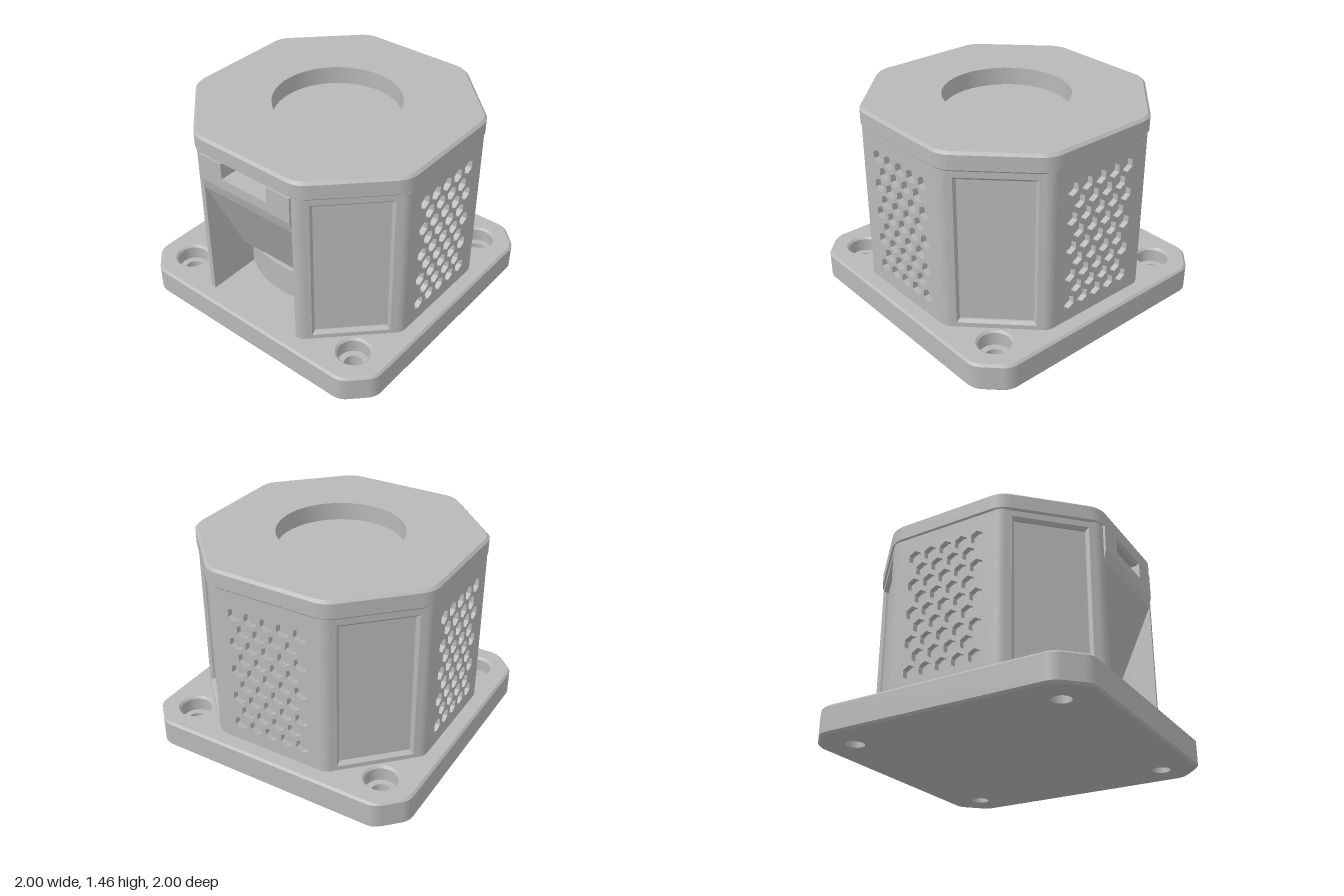
import * as THREE from 'three';
import { toCreasedNormals } from 'three/addons/utils/BufferGeometryUtils.js';

const BASE_TOP = 0.2, CAP_BOTTOM = 1.335, TOP = 1.46;
const WALL = 0.89, CORNER = 0.415, S = Math.SQRT1_2;

// Closed shape with every corner rounded by a quadratic curve
function roundedShape(pts, r) {
  const shape = new THREE.Shape();
  const v = pts.map(([x, y]) => new THREE.Vector2(x, y));
  v.forEach((p, i) => {
    const prev = v[(i + v.length - 1) % v.length], next = v[(i + 1) % v.length];
    const a = prev.clone().sub(p).setLength(r).add(p);
    const b = next.clone().sub(p).setLength(r).add(p);
    if (i) shape.lineTo(a.x, a.y); else shape.moveTo(a.x, a.y);
    shape.quadraticCurveTo(p.x, p.y, b.x, b.y);
  });
  shape.closePath();
  return shape;
}

function polygon(pts) {
  return new THREE.Shape(pts.map(([x, y]) => new THREE.Vector2(x, y)));
}

// Square of half size a whose corners are cut at b
function cutSquare(a, b) {
  return [[b, a], [-b, a], [-a, b], [-a, -b], [-b, -a], [b, -a], [a, -b], [a, b]];
}

function circleHole(x, y, r) {
  return new THREE.Path().absarc(x, y, r, 0, Math.PI * 2, true);
}

function disc(r, hole) {
  const shape = new THREE.Shape().absarc(0, 0, r, 0, Math.PI * 2, false);
  shape.holes.push(circleHole(0, 0, hole));
  return shape;
}

// Extrude a plan shape upward from y0 to y1, bevel included
function prism(shape, y0, y1, bevel = 0) {
  const geo = new THREE.ExtrudeGeometry(shape, {
    depth: y1 - y0 - 2 * bevel, bevelEnabled: bevel > 0, bevelSize: bevel,
    bevelThickness: bevel, bevelSegments: 1, curveSegments: 24,
  });
  geo.rotateX(-Math.PI / 2).translate(0, y0 + bevel, 0);
  return toCreasedNormals(geo, 0.5);
}

export function createModel() {
  const model = new THREE.Group();
  model.name = 'ventedHousing';
  const grey = new THREE.MeshStandardMaterial({ color: 0xb8b8b8 });
  grey.name = 'plainGrey';
  const add = (name, geo, angle = 0) => {
    const mesh = new THREE.Mesh(geo, grey);
    mesh.name = name;
    mesh.rotation.y = angle;
    model.add(mesh);
    return mesh;
  };

  // Mounting plate with four counterbored screw holes
  const plate = roundedShape(cutSquare(0.985, 0.825), 0.05);
  const screws = [[1, 1], [1, -1], [-1, 1], [-1, -1]].map(([x, z]) => [x * 0.75, z * 0.75]);
  screws.forEach(([x, z]) => plate.holes.push(circleHole(x, z, 0.123)));
  add('mountingPlate', prism(plate, 0, BASE_TOP, 0.015));
  const seat = prism(disc(0.123, 0.063), 0, 0.09);
  screws.forEach(([x, z]) => add('screwSeat', seat).position.set(x, 0, z));

  // Inner core, with a bay cut into the -x side
  const core = polygon([[0.41, 0.85], [-0.41, 0.85], [-0.85, 0.41], [-0.85, 0.375], [-0.5, 0.375],
    [-0.5, -0.375], [-0.85, -0.375], [-0.85, -0.41], [-0.41, -0.85], [0.41, -0.85], [0.85, -0.41], [0.85, 0.41]]);
  add('core', prism(core, BASE_TOP, CAP_BOTTOM));

  // Rounded corner posts
  const dx = 0.04 * S;
  for (const side of [1, -1]) {
    const post = new THREE.Shape();
    post.moveTo(side * 0.375, 0.83);
    post.lineTo(side * 0.375, WALL);
    post.quadraticCurveTo(side * CORNER, WALL, side * (CORNER + dx), WALL - dx);
    post.lineTo(side * (CORNER + dx - 0.04), WALL - dx - 0.04);
    post.closePath();
    const geo = prism(post, BASE_TOP, CAP_BOTTOM);
    for (let k = 0; k < 4; k++) add('cornerPost', geo, k * Math.PI / 2);
  }

  // Vent walls: staggered rows of blind hexagons
  const vent = polygon([[-0.375, BASE_TOP], [0.375, BASE_TOP], [0.375, CAP_BOTTOM], [-0.375, CAP_BOTTOM]]);
  for (let row = 0; row < 9; row++) {
    const count = row % 2 ? 4 : 5;
    for (let i = 0; i < count; i++) {
      const cx = (i - (count - 1) / 2) * 0.121, cy = 0.34 + row * 0.104;
      const hex = [];
      for (let j = 0; j < 6; j++) {
        const a = Math.PI / 6 - j * Math.PI / 3;
        hex.push(new THREE.Vector2(cx + 0.05 * Math.cos(a), cy + 0.05 * Math.sin(a)));
      }
      vent.holes.push(new THREE.Path(hex));
    }
  }
  const ventGeo = new THREE.ExtrudeGeometry(vent, { depth: 0.04, bevelEnabled: false });
  ventGeo.translate(0, 0, WALL - 0.04);
  for (let k = 0; k < 3; k++) add('ventWall', ventGeo, k * Math.PI / 2);

  // Diagonal walls: bevelled frames around sunken panels
  const frame = polygon([[-0.296, BASE_TOP], [0.296, BASE_TOP], [0.296, CAP_BOTTOM], [-0.296, CAP_BOTTOM]]);
  const w = 0.258, lo = 0.232, hi = 1.288;
  frame.holes.push(new THREE.Path([[-w, lo], [-w, hi], [w, hi], [w, lo]].map(p => new THREE.Vector2(...p))));
  const frameGeo = new THREE.ExtrudeGeometry(frame, {
    depth: 0.015, bevelEnabled: true, bevelSize: 0.018, bevelThickness: 0.018, bevelSegments: 1,
  });
  frameGeo.translate(0, 0, (WALL + CORNER) * S - 0.033);
  for (let k = 0; k < 4; k++) add('panelFrame', frameGeo, Math.PI / 4 + k * Math.PI / 2);

  // Open bay: sloped hood with a slot at its top, and a round drum below
  const slope = [[-0.905, 1.15], [-0.885, 1.07], [-0.58, 0.42], [-0.49, 0.42]];
  const solid = polygon([[-0.49, CAP_BOTTOM], [-0.905, CAP_BOTTOM], ...slope]);
  const slotted = polygon([[-0.49, CAP_BOTTOM], [-0.7, CAP_BOTTOM], [-0.7, 1.22], [-0.905, 1.22], ...slope]);
  const hood = (name, shape, z0, z1) => {
    const geo = new THREE.ExtrudeGeometry(shape, { depth: z1 - z0, bevelEnabled: false });
    add(name, geo.translate(0, 0, z0));
  };
  hood('hoodBack', solid, -0.375, -0.19);
  hood('hoodSlot', slotted, -0.19, 0.19);
  hood('hoodFront', solid, 0.19, 0.375);
  const drum = new THREE.CylinderGeometry(0.62, 0.62, 0.24, 64);
  add('bayDrum', drum.translate(0, 0.31, 0));

  // Lid: bevelled rim and an insert with the round well
  const rim = roundedShape(cutSquare(0.882, 0.415), 0.07);
  rim.holes.push(circleHole(0, 0, 0.6));
  add('lidRim', prism(rim, CAP_BOTTOM - 0.01, TOP, 0.018));
  add('lidWell', prism(disc(0.6, 0.435), CAP_BOTTOM, TOP));

  return model;
}
